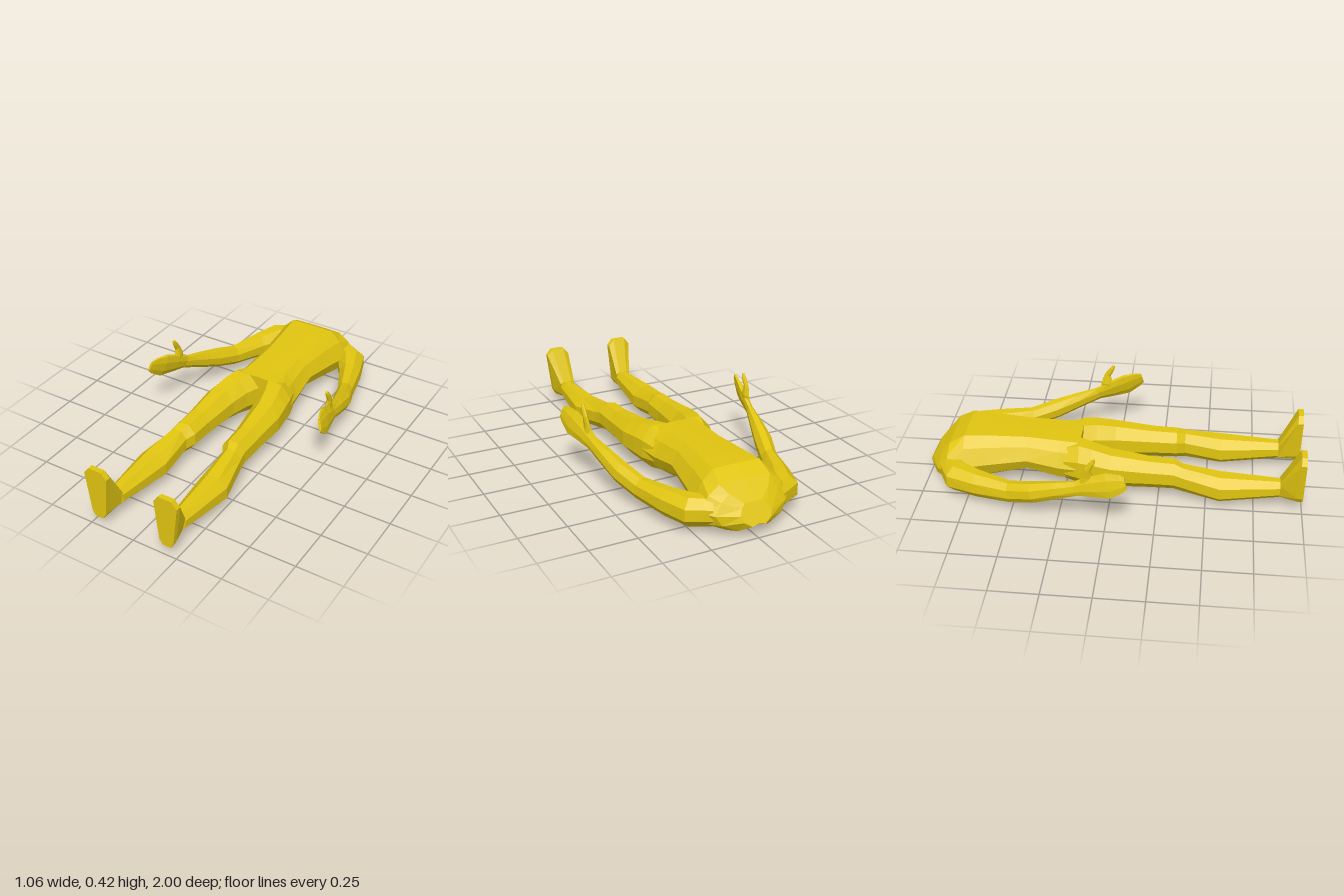
import * as THREE from 'three';

const skin = new THREE.MeshStandardMaterial({ color: 0xe0c410, flatShading: true });
const V = (x, y, z) => new THREE.Vector3(x, y, z);

// Skin a closed surface over rings of equal point count, capped at both ends.
function loft(name, rings, mirror = false) {
  const tris = [];
  const n = rings[0].length;
  const fan = (ring, flip) => {
    const c = ring.reduce((s, p) => s.add(p), V(0, 0, 0)).divideScalar(n);
    for (let j = 0; j < n; j++) {
      const a = ring[j], b = ring[(j + 1) % n];
      tris.push(flip ? [c, b, a] : [c, a, b]);
    }
  };
  for (let i = 0; i < rings.length - 1; i++) {
    for (let j = 0; j < n; j++) {
      const k = (j + 1) % n;
      const a = rings[i][j], b = rings[i][k], c = rings[i + 1][k], d = rings[i + 1][j];
      tris.push([a, b, c], [a, c, d]);
    }
  }
  fan(rings[0], true);
  fan(rings[rings.length - 1], false);
  // The signed volume tells whether the corners have to be reversed.
  const centre = rings[0][0];
  let volume = 0;
  for (const [a, b, c] of tris) {
    volume += a.clone().sub(centre).dot(b.clone().sub(centre).cross(c.clone().sub(centre)));
  }
  const reverse = (volume < 0) !== mirror;
  const pos = [];
  for (const [a, b, c] of tris) {
    for (const p of reverse ? [a, c, b] : [a, b, c]) pos.push(mirror ? -p.x : p.x, p.y, p.z);
  }
  const geo = new THREE.BufferGeometry();
  geo.setAttribute('position', new THREE.Float32BufferAttribute(pos, 3));
  geo.computeVertexNormals();
  const mesh = new THREE.Mesh(geo, skin);
  mesh.name = name;
  return mesh;
}

// Octagon with flat sides, reaching -1..1 on both axes.
const octagon = Array.from({ length: 8 }, (_, i) => {
  const a = (i + 0.5) * Math.PI / 4, r = 1 / Math.cos(Math.PI / 8);
  return [Math.cos(a) * r, Math.sin(a) * r];
});

// Octagonal tube along a path of [x, y, z, thickness, height], leaning towards the body.
function limb(path, lean, up) {
  const pts = path.map(([x, y, z]) => V(x, y, z));
  return path.map(([, , , rx, ry], i) => {
    const t = pts[Math.min(i + 1, pts.length - 1)].clone().sub(pts[Math.max(i - 1, 0)]).normalize();
    const v = up.clone().setX(up.x - lean * i / path.length);
    v.addScaledVector(t, -v.dot(t)).normalize();
    const u = t.clone().cross(v);
    return octagon.map(([a, b]) => pts[i].clone().addScaledVector(u, a * rx).addScaledVector(v, b * ry));
  });
}

// Torso: [z, half width, bottom y, top y, slant]; the back has a spine groove.
function torso() {
  const half = [[0, 1], [0.56, 0.98], [0.8, 0.62], [1, 0], [0.85, -0.55], [0.42, -1]];
  const outline = [...half, [0, -0.86], ...half.slice(1).reverse().map(([x, y]) => [-x, y])];
  const stations = [
    [-0.972, 0.085, 0.07, 0.17, 0.028],
    [-0.925, 0.19, 0.035, 0.212, 0.025],
    [-0.87, 0.245, 0.012, 0.25, 0.01],
    [-0.78, 0.225, 0.004, 0.295, 0],
    [-0.66, 0.202, 0.028, 0.294, 0],
    [-0.45, 0.172, 0.075, 0.287, 0],
    [-0.28, 0.184, 0.03, 0.28, 0],
    [-0.17, 0.2, 0.042, 0.277, 0],
  ];
  return stations.map(([z, w, lo, hi, slant]) => outline.map(([x, y]) =>
    V(x * w, (lo + hi) / 2 + y * (hi - lo) / 2, z + y * slant)));
}

// Leg: [z, inner x, outer x, bottom y, top y]
function leg() {
  return [
    [-0.25, 0.01, 0.175, 0.06, 0.25],
    [-0.17, 0.0, 0.2, 0.042, 0.276],
    [-0.1, 0.03, 0.212, 0.052, 0.268],
    [0, 0.055, 0.225, 0.06, 0.25],
    [0.2, 0.08, 0.215, 0.066, 0.226],
    [0.33, 0.085, 0.215, 0.068, 0.221],
    [0.375, 0.11, 0.22, 0.062, 0.205],
    [0.57, 0.105, 0.26, 0.03, 0.177],
    [0.88, 0.14, 0.225, 0.07, 0.165],
  ].map(([z, x0, x1, y0, y1]) => octagon.map(([a, b]) =>
    V((x0 + x1) / 2 + a * (x1 - x0) / 2, (y0 + y1) / 2 + b * (y1 - y0) / 2, z)));
}

// Foot: sole outline facing forward, shrinking back to the ankle.
function foot() {
  const sole = [[0.165, 0.345], [0.237, 0.345], [0.265, 0.31], [0.237, 0.09],
    [0.22, 0.06], [0.175, 0.06], [0.157, 0.09], [0.135, 0.31]];
  const ankle = sole.map(([x, y]) =>
    V(0.14 + (x - 0.135) * 0.085 / 0.13, 0.07 + (y - 0.06) / 3, 0.88));
  return [ankle, ...[0.972, 1].map(z => sole.map(([x, y]) => V(x, y, z)))];
}

const armPath = [
  [0.16, 0.12, -0.86, 0.06, 0.07],
  [0.25, 0.118, -0.8, 0.077, 0.074],
  [0.305, 0.117, -0.68, 0.059, 0.067],
  [0.366, 0.122, -0.5, 0.041, 0.054],
  [0.41, 0.16, -0.37, 0.044, 0.052],
  [0.44, 0.203, -0.25, 0.032, 0.044],
  [0.465, 0.24, -0.14, 0.018, 0.037],
];
const handPath = [
  [0.463, 0.237, -0.15, 0.017, 0.036],
  [0.48, 0.268, -0.06, 0.02, 0.054],
  [0.498, 0.292, 0.02, 0.019, 0.066],
  [0.513, 0.318, 0.085, 0.011, 0.047],
  [0.519, 0.325, 0.108, 0.007, 0.032],
];
const thumbPath = [
  [0.47, 0.265, -0.09, 0.014, 0.035],
  [0.466, 0.31, -0.09, 0.014, 0.03],
  [0.472, 0.36, -0.085, 0.011, 0.017],
  [0.471, 0.4, -0.06, 0.01, 0.012],
  [0.471, 0.419, -0.05, 0.006, 0.007],
];

export function createModel() {
  const model = new THREE.Group();
  model.name = 'recliningBody';
  model.add(loft('torso', torso()));
  for (const [side, mirror] of [['left', false], ['right', true]]) {
    model.add(
      loft(side + 'Arm', limb(armPath, 0.25, V(0, 1, 0)), mirror),
      loft(side + 'Hand', limb(handPath, 0, V(-0.25, 1, 0)), mirror),
      loft(side + 'Thumb', limb(thumbPath, 0, V(0, 0, 1)), mirror),
      loft(side + 'Leg', leg(), mirror),
      loft(side + 'Foot', foot(), mirror),
    );
  }
  return model;
}
